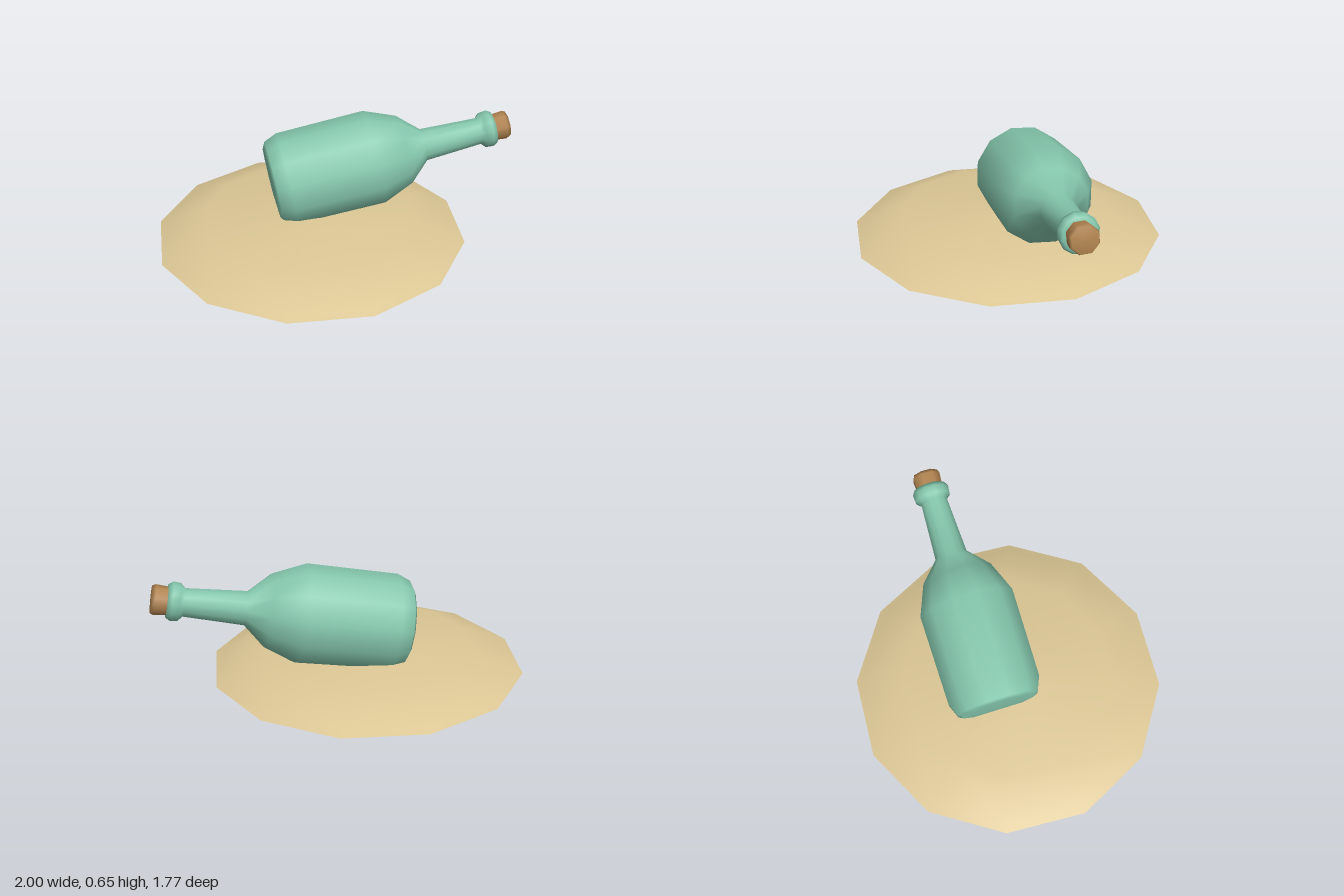
import * as THREE from 'three';

const glass = new THREE.MeshStandardMaterial({ color: 0x84c6ac });
glass.name = 'green glass';
const sand = new THREE.MeshStandardMaterial({ color: 0xdcc795 });
sand.name = 'sand';
const corkMat = new THREE.MeshStandardMaterial({ color: 0xb0834f });
corkMat.name = 'cork';

// Turned part from [radius, height] pairs, listed from bottom to top
function turned(name, profile, sides, material) {
  const points = profile.map(([r, y]) => new THREE.Vector2(r, y));
  const mesh = new THREE.Mesh(new THREE.LatheGeometry(points, sides), material);
  mesh.name = name;
  return mesh;
}

export function createModel() {
  const model = new THREE.Group();
  model.name = 'bottleOnSand';

  // Low twelve-sided sand mound with a flat underside
  const mound = new THREE.Group();
  mound.name = 'sandMound';
  mound.position.x = -0.115;
  mound.add(turned('moundTop', [[0.885, 0], [0.845, 0.016], [0.6, 0.12], [0, 0.145]], 12, sand));
  const underside = new THREE.Mesh(new THREE.CircleGeometry(0.885, 12), sand);
  underside.name = 'moundUnderside';
  underside.rotation.x = Math.PI / 2;
  mound.add(underside);
  model.add(mound);

  // Bottle lying half sunk, its neck pointing up and back
  const bottle = new THREE.Group();
  bottle.name = 'bottle';
  bottle.position.set(-0.345, 0.282, -0.049);
  const axis = new THREE.Vector3(1, 0.18, -0.33).normalize();
  bottle.quaternion.setFromUnitVectors(new THREE.Vector3(0, 1, 0), axis);
  bottle.add(turned('bottleGlass', [
    [0, 0], [0.21, 0], [0.24, 0.015], [0.272, 0.09],      // base
    [0.278, 0.6], [0.205, 0.78], [0.095, 0.9],            // body and shoulder
    [0.078, 1.235], [0.104, 1.26], [0.108, 1.3],          // neck and collar
    [0.092, 1.325], [0.06, 1.325],                        // lip
  ], 12, glass));

  // Cork stopper
  bottle.add(turned('cork', [[0.074, 1.29], [0.083, 1.39], [0.074, 1.41], [0, 1.412]], 8, corkMat));
  model.add(bottle);

  return model;
}
